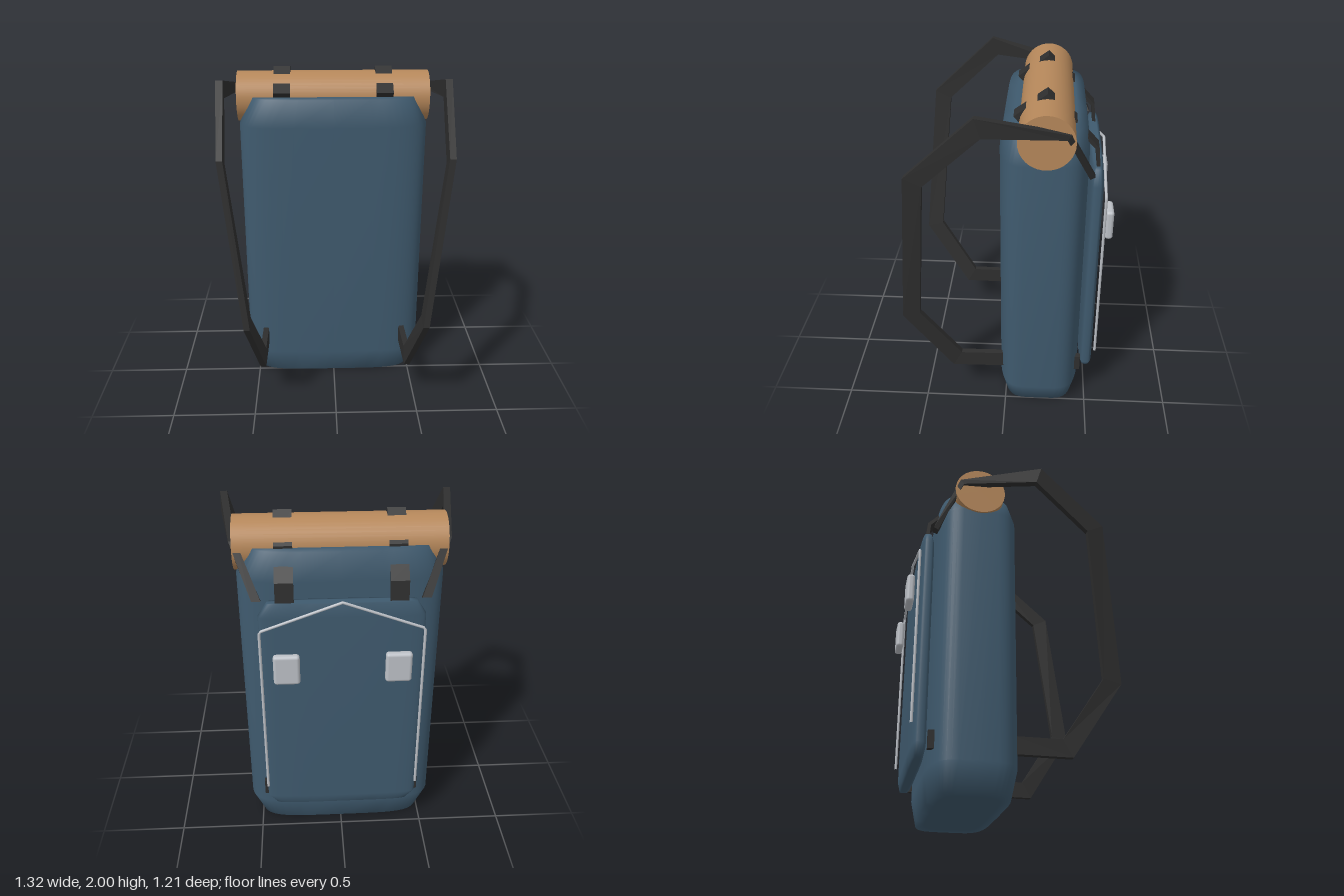
import * as THREE from 'three';
import { RoundedBoxGeometry } from 'three/addons/geometries/RoundedBoxGeometry.js';

const V = (x, y, z) => new THREE.Vector3(x, y, z);

// Closed skin over a list of rings (each counter-clockwise around the travel direction)
function skin(rings, flat) {
  const n = rings[0].length, pos = [], idx = [];
  rings.forEach(r => r.forEach(p => pos.push(p.x, p.y, p.z)));
  for (let i = 0; i < rings.length - 1; i++) {
    for (let j = 0; j < n; j++) {
      const a = i * n + j, b = i * n + (j + 1) % n;
      idx.push(a, b, b + n, a, b + n, a + n);
    }
  }
  const cap = (row, end) => {
    const c = V(0, 0, 0);
    rings[row].forEach(p => c.addScaledVector(p, 1 / n));
    const k = pos.length / 3;
    pos.push(c.x, c.y, c.z);
    for (let j = 0; j < n; j++) {
      const a = row * n + j, b = row * n + (j + 1) % n;
      if (end) idx.push(k, a, b); else idx.push(k, b, a);
    }
  };
  cap(0, false);
  cap(rings.length - 1, true);
  let g = new THREE.BufferGeometry();
  g.setAttribute('position', new THREE.Float32BufferAttribute(pos, 3));
  g.setIndex(idx);
  if (flat) g = g.toNonIndexed();
  g.computeVertexNormals();
  return g;
}

// Soft box: superellipse sections [y, halfX, halfZ] stacked upwards
function softBox(sections, zc, power) {
  const N = 48, e = 2 / power;
  const f = v => Math.sign(v) * Math.pow(Math.abs(v), e);
  return skin(sections.map(([y, hx, hz]) => Array.from({ length: N }, (_, j) => {
    const a = j / N * Math.PI * 2;
    return V(hx * f(Math.sin(a)), y, zc + hz * f(Math.cos(a)));
  })), false);
}

// Flat band along [x, y, z, widthInYZ, widthInX] points, mitred in the YZ plane
function band(points, side) {
  const dir = (a, b) => new THREE.Vector2(b[1] - a[1], b[2] - a[2]).normalize();
  return skin(points.map((p, i) => {
    const d0 = dir(points[Math.max(i - 1, 0)], points[Math.max(i, 1)]);
    const last = points.length - 1;
    const d1 = dir(points[Math.min(i, last - 1)], points[Math.min(i + 1, last)]);
    const t = d0.clone().add(d1).normalize();
    const h = p[3] / 2 / Math.max(t.dot(d0), 0.5), w = p[4] / 2;
    return [[1, 1], [-1, 1], [-1, -1], [1, -1]].map(([sx, sn]) =>
      V(p[0] * side + sx * w, p[1] + sn * h * t.y, p[2] - sn * h * t.x));
  }), true);
}

export function createModel() {
  const model = new THREE.Group();
  model.name = 'backpack';
  const mat = (name, color) => {
    const m = new THREE.MeshStandardMaterial({ color });
    m.name = name;
    return m;
  };
  const canvas = mat('blue canvas', 0x3f5a6e);
  const roll = mat('tan bedroll', 0xb5875a);
  const strap = mat('dark strap', 0x2e2e2e);
  const metal = mat('light metal', 0xbcc0c6);
  const add = (name, geo, m) => {
    const mesh = new THREE.Mesh(geo, m);
    mesh.name = name;
    model.add(mesh);
    return mesh;
  };

  // Main bag
  add('mainBag', softBox([
    [0, 0.42, 0.17], [0, 0.5, 0.222], [0.15, 0.565, 0.248],
    [1.68, 0.565, 0.248], [1.84, 0.49, 0.222], [1.84, 0.42, 0.17],
  ], -0.207, 4.7), canvas);

  // Pocket on the back face
  add('pocket', softBox([
    [0.21, 0.36, 0.02], [0.21, 0.4, 0.033], [0.27, 0.45, 0.043],
    [1.51, 0.45, 0.043], [1.59, 0.4, 0.033], [1.59, 0.36, 0.02],
  ], -0.497, 4.5), canvas);

  // Bedroll lying across the top
  const bedroll = add('bedroll', new THREE.CylinderGeometry(0.15, 0.15, 1.15, 40), roll);
  bedroll.rotation.z = Math.PI / 2;
  bedroll.position.set(0, 1.82, -0.217);

  // Bent metal rod around the pocket
  const rod = new THREE.CurvePath();
  const corners = [[-0.445, 0.37], [-0.445, 1.44], [0, 1.605], [0.445, 1.44], [0.445, 0.37]]
    .map(([x, y]) => V(x, y, -0.548));
  for (let i = 0; i < 4; i++) rod.add(new THREE.LineCurve3(corners[i], corners[i + 1]));
  add('pocketRod', new THREE.TubeGeometry(rod, 160, 0.008, 8), metal);

  for (const side of [1, -1]) {
    const label = side > 0 ? 'left' : 'right';

    // Shoulder strap, from the pocket's top corner over the front to its bottom corner
    add(label + 'ShoulderStrap', band([
      [0.455, 1.58, -0.465, 0.03, 0.05],
      [0.57, 1.86, -0.33, 0.03, 0.04],
      [0.642, 1.93, 0.125, 0.1, 0.04],
      [0.62, 1.61, 0.47, 0.1, 0.035],
      [0.513, 0.67, 0.555, 0.1, 0.035],
      [0.45, 0.28, 0.3, 0.1, 0.035],
      [0.445, 0.28, 0, 0.1, 0.035],
      [0.455, 0.28, -0.46, 0.1, 0.035],
    ], side), strap);

    // Strap holding the bedroll
    add(label + 'BedrollStrap', band([
      [0.305, 1.78, -0.13, 0.02, 0.1],
      [0.305, 1.868, -0.053, 0.02, 0.1],
      [0.305, 1.985, -0.215, 0.02, 0.1],
      [0.305, 1.85, -0.365, 0.02, 0.1],
      [0.305, 1.75, -0.36, 0.02, 0.1],
    ], side), strap);

    // Short strap from the bag to the top of the pocket
    add(label + 'PocketStrap', band([
      [0.305, 1.76, -0.43, 0.02, 0.1],
      [0.305, 1.695, -0.49, 0.02, 0.1],
      [0.305, 1.57, -0.503, 0.02, 0.1],
    ], side), strap);

    // Buckle plate
    const buckle = add(label + 'Buckle', new RoundedBoxGeometry(0.145, 0.18, 0.046, 3, 0.018), metal);
    buckle.position.set(0.305 * side, 1.225, -0.584);
  }
  return model;
}
